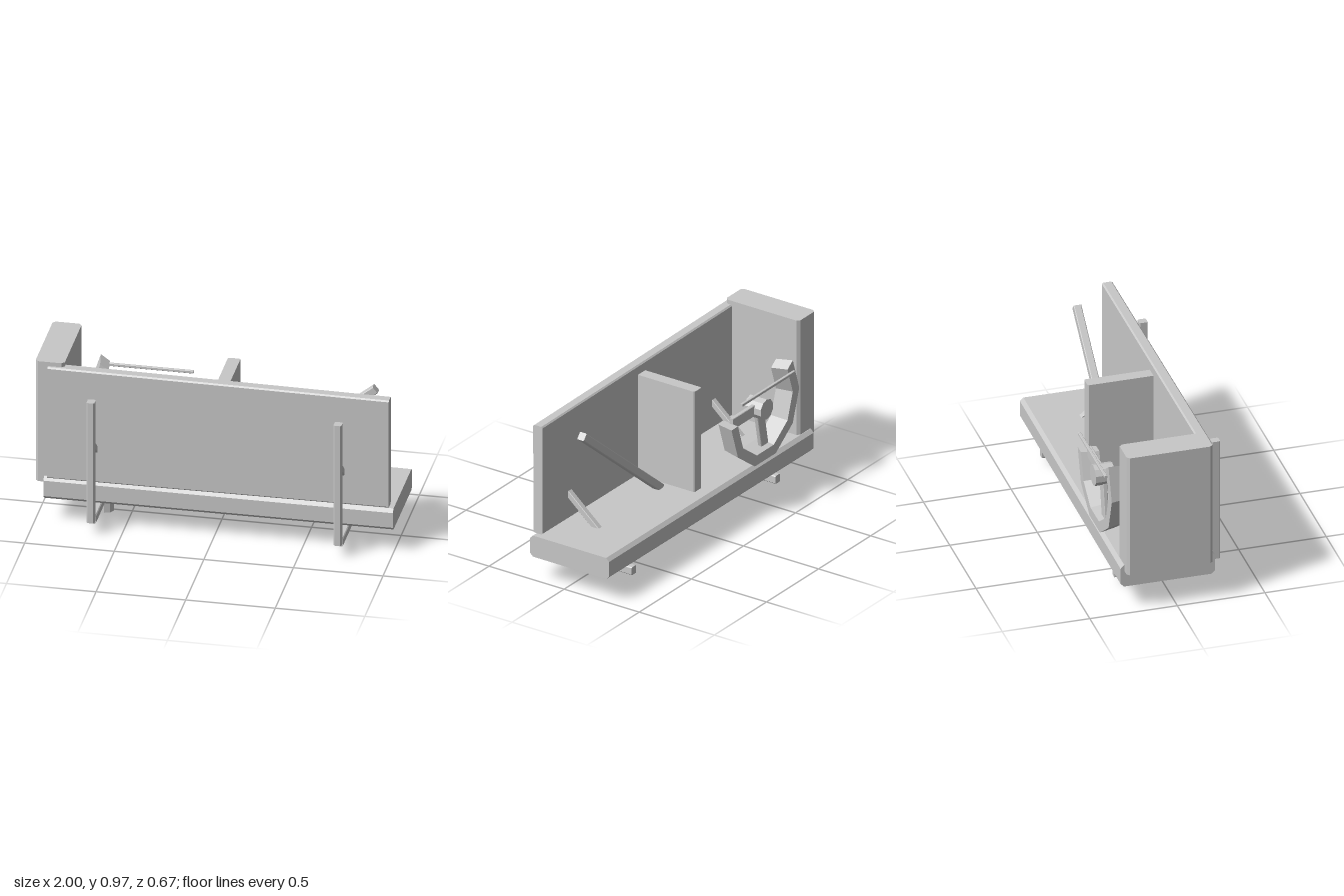
import * as THREE from 'three';

const grey = new THREE.MeshStandardMaterial({ color: 0xc8c8c8 });
grey.name = 'plain grey';

// Straight beam from a to b with a chamfered w x h section, optionally tapered at b.
function beam(name, a, b, w, h, c = 0.004, up = [0, 1, 0], taperW = 1, taperH = 1) {
  const x = w / 2, y = h / 2;
  const shape = new THREE.Shape([
    [-x + c, -y], [x - c, -y], [x, -y + c], [x, y - c],
    [x - c, y], [-x + c, y], [-x, y - c], [-x, -y + c],
  ].map(p => new THREE.Vector2(...p)));
  const start = new THREE.Vector3(...a), end = new THREE.Vector3(...b);
  const len = start.distanceTo(end);
  const geo = new THREE.ExtrudeGeometry(shape, { depth: len, bevelEnabled: false });
  const pos = geo.attributes.position;
  for (let i = 0; i < pos.count; i++) {
    if (pos.getZ(i) > len / 2) pos.setXY(i, pos.getX(i) * taperW, pos.getY(i) * taperH);
  }
  geo.computeVertexNormals();
  const mesh = new THREE.Mesh(geo, grey);
  mesh.name = name;
  mesh.up.set(...up);
  mesh.position.copy(start);
  mesh.lookAt(end);
  return mesh;
}

// Faceted cylinder
function drum(name, r, len, sides) {
  const geo = new THREE.CylinderGeometry(r, r, len, sides).toNonIndexed();
  geo.computeVertexNormals();
  const mesh = new THREE.Mesh(geo, grey);
  mesh.name = name;
  return mesh;
}

// Open, flared ten-sided rim: section corners are [radius, z]
function rimGeometry() {
  const section = [[0.245, -0.215], [0.305, -0.215], [0.325, -0.315], [0.263, -0.315]];
  const steps = 6, verts = [], index = [];
  for (let i = 0; i <= steps; i++) {
    const t = -i * Math.PI / 5;
    for (const [r, z] of section) verts.push(r * Math.cos(t), r * Math.sin(t), z);
  }
  for (let i = 0; i < steps; i++) {
    for (let j = 0; j < 4; j++) {
      const k = (j + 1) % 4, p = i * 4, q = p + 4;
      index.push(p + j, p + k, q + k, p + j, q + k, q + j);
    }
  }
  const e = steps * 4;
  index.push(0, 2, 1, 0, 3, 2, e, e + 1, e + 2, e, e + 2, e + 3);
  // Orient every face outward
  const geo = new THREE.BufferGeometry();
  geo.setAttribute('position', new THREE.Float32BufferAttribute(verts, 3));
  const at = i => new THREE.Vector3().fromArray(verts, i * 3);
  let volume = 0;
  for (let i = 0; i < index.length; i += 3) {
    volume += at(index[i]).dot(at(index[i + 1]).cross(at(index[i + 2])));
  }
  geo.setIndex(volume < 0 ? index.reverse() : index);
  const flat = geo.toNonIndexed();
  flat.computeVertexNormals();
  return flat;
}

export function createModel() {
  const model = new THREE.Group();
  model.name = 'model';
  const Z = [0, 0, 1];

  // Main slabs
  model.add(
    beam('base', [-0.95, 0.207, -0.039], [1, 0.204, -0.036], 0.54, 0.134, 0.02, [0, 1, 0], 0.975, 0.96),
    beam('wall', [-0.93, 0.606, 0.192], [0.975, 0.603, 0.192], 0.064, 0.68, 0.008, [0, 1, 0], 0.96, 0.965),
    beam('endTower', [-0.92, 0.235, -0.041], [-0.92, 0.97, -0.041], 0.162, 0.49, 0.016, Z),
    beam('divider', [0.025, 0.26, -0.022], [0.025, 0.882, -0.022], 0.07, 0.386, 0.007, Z),
    beam('diagonalBar', [0.11, 0.268, -0.018], [0.855, 0.877, -0.018], 0.044, 0.045, 0.004),
  );

  // Two bracket frames: post, foot bar and slanted brace
  for (const [side, x] of [['right', -0.667], ['left', 0.712]]) {
    const frame = new THREE.Group();
    frame.name = side + 'Bracket';
    frame.add(
      beam('post', [x, 0.075, 0.315], [x, 0.81, 0.315], 0.044, 0.048, 0.006, Z),
      beam('footBar', [x, 0.074, 0.292], [x, 0.074, -0.265], 0.044, 0.048, 0.005),
      beam('brace', [x, 0.528, 0.286], [x, 0.1, -0.212], 0.034, 0.034, 0.003),
    );
    model.add(frame);
  }

  // Peg under the base
  const peg = drum('peg', 0.048, 0.16, 9);
  peg.position.set(-0.647, 0.08, 0.006);
  model.add(peg);

  // Open wheel with hub and two spokes
  const wheel = new THREE.Group();
  wheel.name = 'wheel';
  wheel.position.set(-0.477, 0.59, 0);
  const rim = new THREE.Mesh(rimGeometry(), grey);
  rim.name = 'rim';
  const hub = drum('hub', 0.061, 0.11, 10);
  hub.rotation.x = Math.PI / 2;
  hub.position.z = -0.27;
  wheel.add(rim, hub);
  for (const angle of [0, -Math.PI * 0.56]) {
    const tip = [0.26 * Math.cos(angle), 0.26 * Math.sin(angle), -0.268];
    wheel.add(beam('spoke', [0, 0, -0.268], tip, 0.066, 0.025, 0.003, Z));
  }
  model.add(wheel);

  // Thin rod behind the wheel
  model.add(beam('rod', [-0.735, 0.717, -0.328], [-0.225, 0.717, -0.328], 0.016, 0.016, 0.002));
  return model;
}
